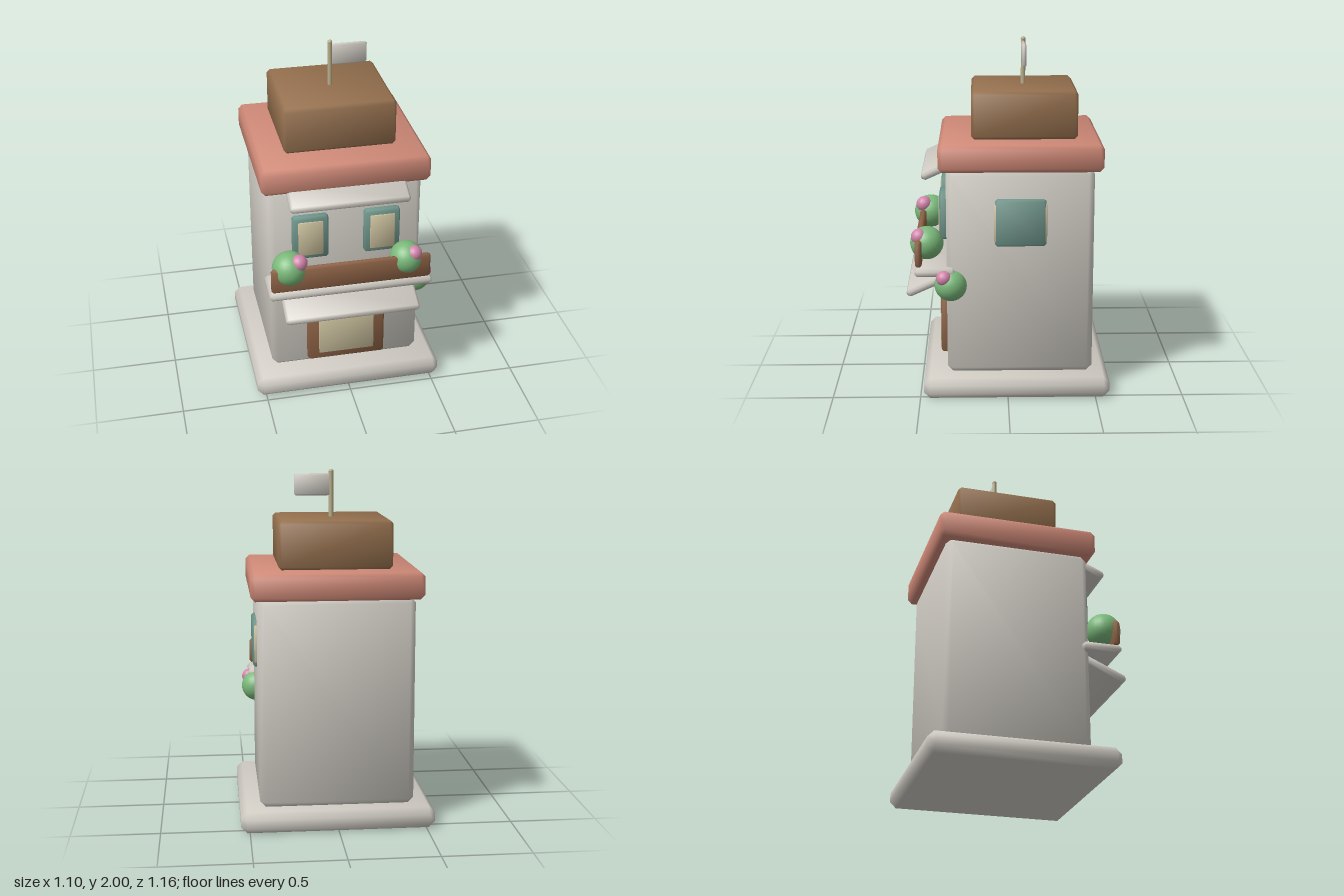
import * as THREE from 'three';
import { ConvexGeometry } from 'three/addons/geometries/ConvexGeometry.js';

const mat = (name, color) => Object.assign(new THREE.MeshStandardMaterial({ color }), { name });

// Box with chamfered edges and soft normals that lean outwards at the corners
function softBox(w, h, d, c) {
  const half = [w / 2, h / 2, d / 2];
  const points = [];
  for (let axis = 0; axis < 3; axis++)
    for (const x of [-1, 1]) for (const y of [-1, 1]) for (const z of [-1, 1])
      points.push(new THREE.Vector3(...[x, y, z].map((s, i) => s * (half[i] - (i === axis ? 0 : c)))));
  const geo = new ConvexGeometry(points);
  const pos = geo.attributes.position;
  const n = new THREE.Vector3();
  for (let i = 0; i < pos.count; i++) {
    const p = [pos.getX(i), pos.getY(i), pos.getZ(i)];
    n.set(...p.map((v, k) => Math.sign(v) * (Math.abs(v) > half[k] - c / 2 ? 2.4 : 0.7))).normalize();
    geo.attributes.normal.setXYZ(i, n.x, n.y, n.z);
  }
  return geo;
}

export function createModel() {
  const wall = mat('stone grey', 0xcfcbc3);
  const roofRed = mat('roof coral', 0xd08a78);
  const brown = mat('upper brown', 0x96714f);
  const wood = mat('door wood', 0x8f6346);
  const teal = mat('frame teal', 0x6f968c);
  const glass = mat('warm glass', 0xcfc4a0);
  const poleTan = mat('pole tan', 0xb9ad8a);
  const green = mat('leaf green', 0x7ab87a);
  const pink = mat('flower pink', 0xd285aa);

  const model = new THREE.Group();
  const add = (name, geo, material, x, y, z) => {
    const mesh = new THREE.Mesh(geo, material);
    mesh.name = name;
    mesh.position.set(x, y, z);
    model.add(mesh);
    return mesh;
  };
  // Box given by its limits on each axis
  const box = (name, material, [x0, x1], [y0, y1], [z0, z1], c) =>
    add(name, softBox(x1 - x0, y1 - y0, z1 - z0, c), material, (x0 + x1) / 2, (y0 + y1) / 2, (z0 + z1) / 2);

  // Main masses
  box('base', wall, [-0.55, 0.55], [0, 0.12], [-0.58, 0.48], 0.035);
  box('body', wall, [-0.438, 0.438], [0.12, 1.315], [-0.485, 0.345], 0.033);
  box('roof', roofRed, [-0.48, 0.48], [1.305, 1.457], [-0.532, 0.387], 0.024);
  box('roofBlock', brown, [-0.32, 0.32], [1.46, 1.73], [-0.395, 0.202], 0.018);

  // Flag
  add('flagPole', new THREE.CylinderGeometry(0.013, 0.013, 0.27, 12), poleTan, 0, 1.855, -0.097);
  add('poleTip', new THREE.SphereGeometry(0.014, 12, 8), poleTan, 0, 1.986, -0.097);
  box('flag', wall, [0.005, 0.212], [1.85, 1.975], [-0.11, -0.085], 0.01);

  // Door
  box('doorFrame', wood, [-0.232, 0.228], [0.165, 0.56], [0.3, 0.386], 0.014);
  box('doorPane', glass, [-0.167, 0.163], [0.21, 0.51], [0.35, 0.391], 0.005);

  // Front windows
  for (const x of [-0.21, 0.204]) {
    box('windowFrame', teal, [x - 0.103, x + 0.103], [0.88, 1.15], [0.3, 0.386], 0.013);
    box('windowPane', glass, [x - 0.072, x + 0.072], [0.905, 1.122], [0.35, 0.391], 0.005);
  }
  // Side window, whose pane shows at the ends of the frame
  box('sideWindowFrame', teal, [0.39, 0.46], [0.88, 1.15], [-0.215, 0.072], 0.012);
  box('sideWindowPane', glass, [0.4, 0.453], [0.905, 1.122], [-0.22, 0.077], 0.004);

  // Awnings sloping down to the front
  const awning = (name, w, length, y, z) => {
    add(name, softBox(w, 0.045, length, 0.015), wall, 0, y, z).rotation.x = 0.42;
  };
  awning('upperAwning', 0.68, 0.17, 1.284, 0.405);
  awning('lowerAwning', 0.78, 0.26, 0.632, 0.455);

  // Balcony
  box('balconyFloor', wall, [-0.47, 0.47], [0.705, 0.752], [0.3, 0.525], 0.015);
  box('balconyRail', wood, [-0.46, 0.457], [0.758, 0.907], [0.484, 0.522], 0.012);

  // Flowering bushes: centre, radius, flower centre, flower radius
  const bushes = [
    [[-0.348, 0.88, 0.46], 0.1, [-0.3, 0.935, 0.5], 0.048],
    [[0.328, 0.87, 0.458], 0.095, [0.362, 0.915, 0.5], 0.046],
    [[0.42, 0.648, 0.322], 0.093, [0.466, 0.7, 0.36], 0.044],
  ];
  for (const [p, r, q, s] of bushes) {
    add('bush', new THREE.SphereGeometry(r, 24, 16), green, ...p);
    add('flower', new THREE.SphereGeometry(s, 16, 12), pink, ...q);
  }
  return model;
}
